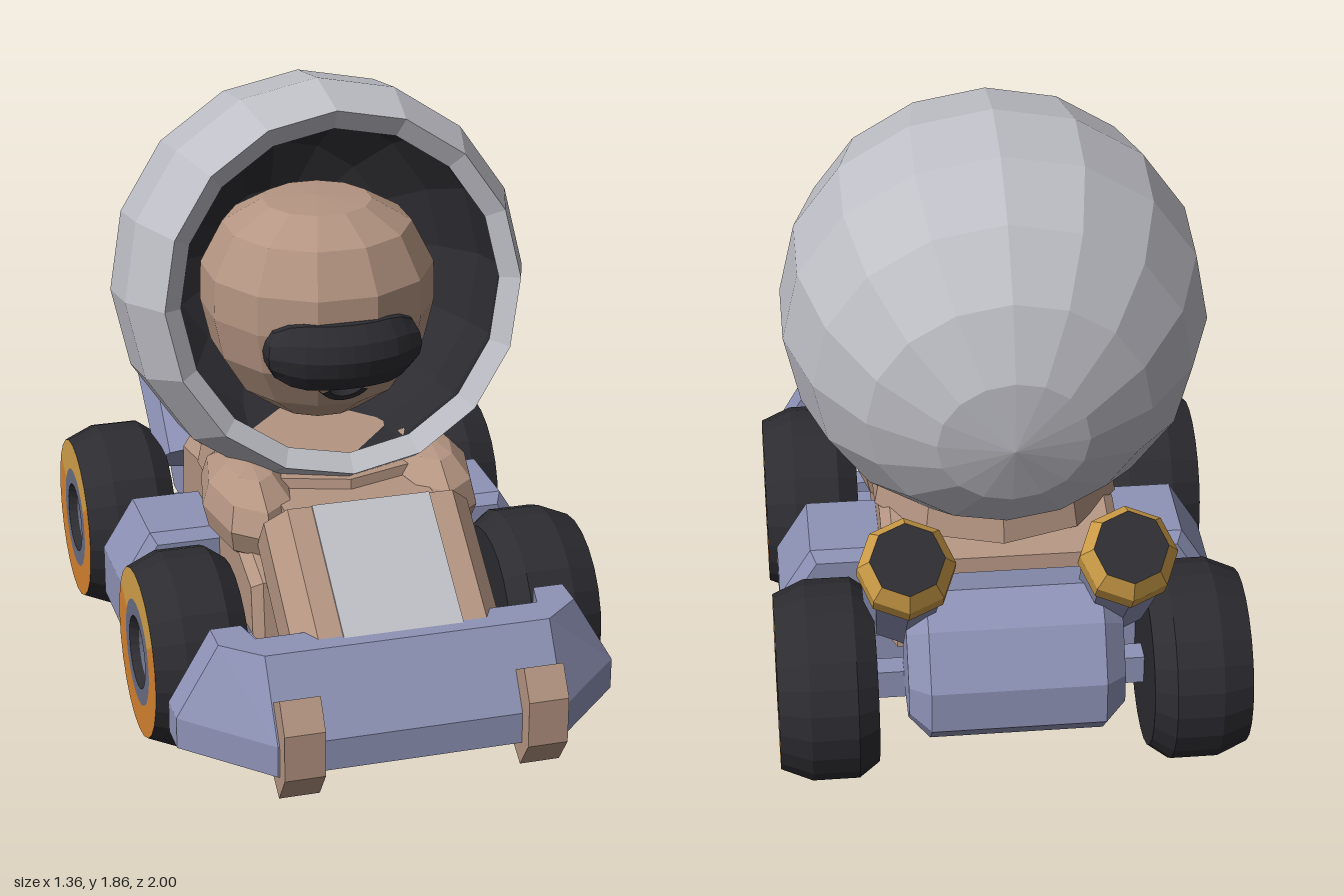
import * as THREE from 'three';

const mat = (name, color) => {
  const m = new THREE.MeshStandardMaterial({ color, flatShading: true });
  m.name = name;
  return m;
};

export function createModel() {
  const grey = mat('pale grey', 0xbebec6);
  const brown = mat('tan brown', 0xb59582);
  const blue = mat('dusty blue', 0x8e93b7);
  const black = mat('soft black', 0x2c2c31);
  const orange = mat('orange', 0xd68431);
  const gold = mat('gold', 0xd3a149);
  const slate = mat('slate', 0x686d84);

  const model = new THREE.Group();
  model.name = 'kart';
  const add = (name, geo, material, parent = model, pos = [0, 0, 0], rot = [0, 0, 0]) => {
    const mesh = new THREE.Mesh(geo, material);
    mesh.name = name;
    mesh.position.set(...pos);
    mesh.rotation.set(...rot);
    parent.add(mesh);
    return mesh;
  };
  const v2 = (pts) => pts.map(([a, b]) => new THREE.Vector2(a, b));
  const lathe = (pts, sides, start = 0, length = Math.PI * 2) =>
    new THREE.LatheGeometry(v2(pts), sides, start, length);
  const box = (w, h, d) => new THREE.BoxGeometry(w, h, d);
  // Extrusion along z, centred, with an optional chamfer inside the outline
  const prism = (pts, depth, bevel = 0) => new THREE.ExtrudeGeometry(new THREE.Shape(v2(pts)), {
    depth: depth - 2 * bevel, bevelEnabled: bevel > 0, bevelThickness: bevel,
    bevelSize: bevel, bevelOffset: -bevel, bevelSegments: 1,
  }).translate(0, 0, bevel - depth / 2);
  // Side profile given as (z, y), extruded across x
  const sidePrism = (pts, width, bevel) => prism(pts, width, bevel).rotateY(-Math.PI / 2);

  // Helmet: slightly deep open shell tilted ten degrees upward, flat rim, dark inside
  const helmet = new THREE.Group();
  helmet.name = 'helmet';
  helmet.position.set(0, 1.24, -0.165);
  helmet.rotation.x = THREE.MathUtils.degToRad(80);
  model.add(helmet);
  const arc = (r, deg) => {
    const a = THREE.MathUtils.degToRad(deg);
    return [r * Math.sin(a), -1.03 * r * Math.cos(a)];
  };
  const outer = [], inner = [];
  for (let i = 0; i <= 6; i++) {
    outer.push(arc(0.624, i * 20));
    inner.unshift(arc(0.556, i * 19.9));
  }
  add('helmetShell', lathe([...outer, inner[0]], 16), grey, helmet);
  add('helmetLining', lathe(inner, 16), black, helmet);

  // Head
  const headProfile = [[0, 0.81], [0.14, 0.84], [0.25, 0.92], [0.325, 1.04], [0.355, 1.17],
    [0.352, 1.29], [0.285, 1.42], [0.165, 1.49], [0, 1.5]];
  add('head', lathe(headProfile, 12), brown, model, [0, 0, -0.165], [0, Math.PI / 12, 0]);

  // Visor: padded band bent round the face
  const visor = new THREE.BoxGeometry(2, 2, 2, 10, 4, 2);
  const vp = visor.attributes.position;
  for (let i = 0; i < vp.count; i++) {
    const u = vp.getX(i), v = vp.getY(i), w = vp.getZ(i);
    const end = Math.max(0, (Math.abs(u) - 0.6) / 0.4);
    const x = 0.235 * u * (1 - 0.1 * v * v);
    const y = 0.1 * v * (1 - 0.3 * end * end);
    vp.setXYZ(i, x, y, w * 0.085 * (1 - 0.6 * v * v) * (1 - 0.2 * end) - 1.5 * x * x);
  }
  add('visor', visor, black, model, [0, 1.12, 0.17]);
  const smile = 0.7 * Math.PI;
  add('mouth', new THREE.TorusGeometry(0.068, 0.02, 6, 10, smile), black, model,
    [0, 1.03, 0.152], [0.52, 0, 1.5 * Math.PI - smile / 2]);

  // Body, collar and arms
  add('body', sidePrism([[0.42, 0.32], [0.4, 0.52], [0.2, 0.58], [-0.28, 0.65], [-0.53, 0.6],
    [-0.56, 0.32]], 0.7, 0.03), brown);
  const collar = add('collar', new THREE.CylinderGeometry(0.36, 0.38, 0.1, 10), brown, model, [0, 0.68, -0.14]);
  collar.scale.z = 0.97;
  add('chest', box(0.46, 0.2, 0.3), brown, model, [0, 0.6, 0.26]);
  for (const s of [1, -1]) {
    const arm = add(s > 0 ? 'leftArm' : 'rightArm', new THREE.SphereGeometry(1, 8, 6), brown, model,
      [s * 0.28, 0.635, 0.065], [0.05, 0, 0]);
    arm.scale.set(0.14, 0.148, 0.275);
  }

  // Sloping bonnet with a pale panel
  const bonnet = new THREE.Group();
  bonnet.name = 'bonnet';
  bonnet.position.set(0, 0.622, 0.596);
  bonnet.rotation.x = 0.645;
  model.add(bonnet);
  add('bonnetShell', prism([[0.25, 0], [0.31, -0.07], [0.31, -0.2], [-0.31, -0.2], [-0.31, -0.07],
    [-0.25, 0]], 0.45), brown, bonnet);
  add('bonnetPanel', box(0.355, 0.008, 0.45), grey, bonnet, [0, 0.003, 0]);

  // Front bumper: plan outline extruded upward, upper layer drawn in
  const half = [[0.42, 0.7], [0.44, 0.61], [0.655, 0.61], [0.655, 0.71], [0.42, 0.946]];
  const plan = [...half.map(([x, z]) => [x, -z]), ...half.map(([x, z]) => [-x, -z]).reverse()];
  const bumper = new THREE.ExtrudeGeometry(new THREE.Shape(v2(plan)),
    { depth: 2, steps: 2, bevelEnabled: false }).rotateX(-Math.PI / 2);
  const bp = bumper.attributes.position;
  for (let i = 0; i < bp.count; i++) {
    const layer = Math.round(bp.getY(i));
    bp.setY(i, [0.195, 0.29, 0.505][layer]);
    if (layer === 2) {
      bp.setX(i, THREE.MathUtils.clamp(bp.getX(i), -0.53, 0.53));
      bp.setZ(i, Math.min(bp.getZ(i), 0.807));
    }
  }
  add('frontBumper', bumper, blue);
  for (const s of [1, -1]) {
    add('bumperGuard', sidePrism([[0.946, 0.435], [1, 0.35], [1, 0.21], [0.935, 0.12], [0.845, 0.175],
      [0.86, 0.385]], 0.118), brown, model, [s * 0.356, 0, 0]);
  }

  // Chassis rails and cross bars
  for (const s of [1, -1]) add('chassisRail', box(0.08, 0.1, 1.3), blue, model, [s * 0.22, 0.3, 0.05]);
  for (const z of [0.36, 0.24, -0.47, -0.655]) add('crossBar', box(0.9, 0.09, 0.07), blue, model, [0, 0.28, z]);

  // Centre beam running right across, ending in the two side pods
  add('sidePods', prism([[-0.655, 0.195], [0.655, 0.195], [0.655, 0.35], [0.56, 0.505],
    [-0.56, 0.505], [-0.655, 0.35]], 0.315, 0.03), blue, model, [0, 0, -0.178]);

  // Rear engine block
  add('engineBlock', sidePrism([[-0.58, 0.22], [-0.87, 0.22], [-0.95, 0.3], [-0.95, 0.43], [-0.865, 0.585],
    [-0.77, 0.66], [-0.6, 0.6]], 0.62, 0.06), blue);

  // Exhaust pipes with gold tips
  for (const s of [1, -1]) {
    const pipe = new THREE.Group();
    pipe.name = s > 0 ? 'leftExhaust' : 'rightExhaust';
    pipe.position.set(s * 0.31, 0.49, -0.6);
    pipe.rotation.x = -0.69;
    model.add(pipe);
    add('pipe', lathe([[0, 0], [0.108, 0], [0.125, 0.35]], 8), blue, pipe);
    add('pipeTip', lathe([[0.125, 0.35], [0.138, 0.37], [0.138, 0.44], [0.105, 0.5]], 8), gold, pipe);
    add('pipeMouth', lathe([[0.105, 0.5], [0, 0.5]], 8), black, pipe);
  }

  // Wheels: axis along x, gold sector at the top of the orange ring
  const deg = Math.PI / 180;
  for (const z of [0.3, -0.66]) {
    for (const s of [1, -1]) {
      const wheel = new THREE.Group();
      wheel.name = (z > 0 ? 'front' : 'rear') + (s > 0 ? 'Left' : 'Right') + 'Wheel';
      wheel.position.set(0, 0.294, z);
      wheel.rotation.y = s > 0 ? 0 : Math.PI;
      model.add(wheel);
      const part = (name, pts, material, start, length) =>
        add(name, lathe(pts, Math.max(8, Math.round((length ?? 2 * Math.PI) / (15 * deg))), start, length)
          .rotateZ(-Math.PI / 2), material, wheel);
      const ring = [[0.255, 0.68], [0.16, 0.68]];
      part('tyre', [[0, 0.395], [0.25, 0.395], [0.293, 0.455], [0.293, 0.59], [0.255, 0.68]], black);
      part('rimTop', ring, gold, 210 * deg, 120 * deg);
      part('rim', ring, orange, 330 * deg, 240 * deg);
      part('hubRing', [[0.16, 0.68], [0.11, 0.68]], slate);
      part('hubLip', [[0.11, 0.68], [0.092, 0.655]], black);
      part('hub', [[0.092, 0.655], [0.085, 0.6], [0, 0.6]], slate);
    }
  }
  return model;
}
